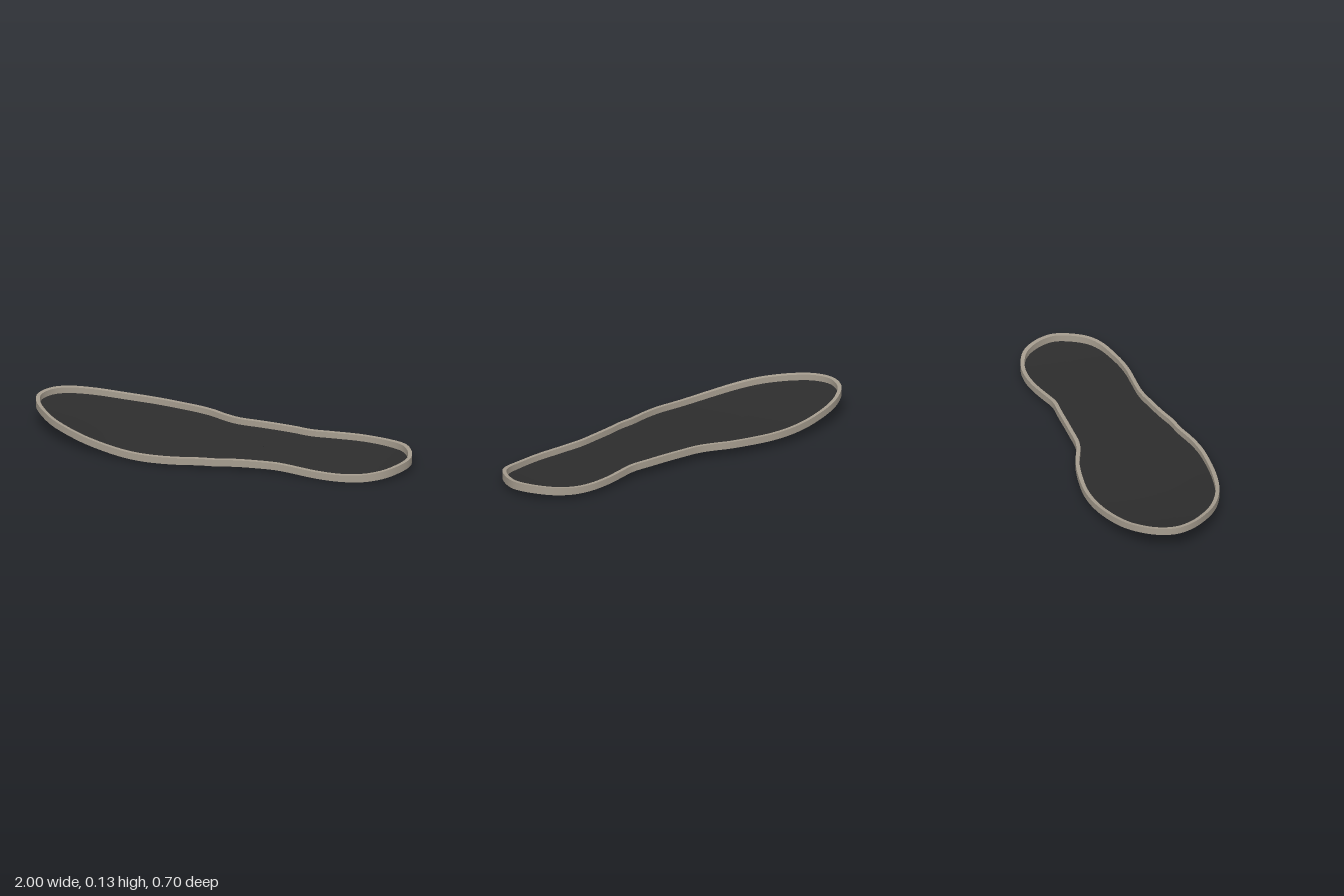
import * as THREE from 'three';

// Sole outline in (x, z): toe at -x, heel at +x
const OUTLINE = [
  [-1, -0.06], [-0.97, -0.16], [-0.9, -0.235], [-0.8, -0.29], [-0.62, -0.338], [-0.46, -0.352],
  [-0.3, -0.335], [-0.16, -0.303], [-0.08, -0.27], [0, -0.246], [0.12, -0.24], [0.3, -0.234],
  [0.4, -0.229], [0.5, -0.25], [0.6, -0.27], [0.7, -0.276], [0.8, -0.26], [0.9, -0.21],
  [0.97, -0.12], [1, -0.02], [0.975, 0.08], [0.93, 0.155], [0.87, 0.2], [0.8, 0.225],
  [0.7, 0.245], [0.6, 0.25], [0.5, 0.244], [0.38, 0.239], [0.28, 0.253], [0.17, 0.274],
  [0.08, 0.298], [0, 0.31], [-0.1, 0.335], [-0.2, 0.35], [-0.3, 0.351], [-0.45, 0.336],
  [-0.65, 0.289], [-0.8, 0.218], [-0.9, 0.135], [-0.975, 0.035],
];
const N = 200;
const RIM = 0.02;
const FLOOR = 0.005;

// Underside height at even x steps from toe to heel
const profile = new THREE.SplineCurve(
  [0.098, 0.066, 0.038, 0.026, 0.027, 0.028, 0.029, 0.024, 0.014, 0.011, 0.026]
    .map((y, i) => new THREE.Vector2(-1 + i * 0.2, y)));

function underside(x, z) {
  const y = profile.getPoint(THREE.MathUtils.clamp((x + 1) / 2, 0, 1)).y;
  const toe = 1 - THREE.MathUtils.smoothstep(x, -0.8, -0.25);
  return y - 0.045 * z * (1 - toe) + 0.1 * z * z * toe; // side tilt, cupped toe
}

const wallHeight = (x) => 0.035 + 0.005 * THREE.MathUtils.smoothstep(x, 0.7, 0.95);

// Joins closed rings of points with quads
function loft(rings, material, name) {
  const pos = rings.flat(2);
  const index = [];
  for (let r = 0; r < rings.length - 1; r++) {
    for (let i = 0; i < N; i++) {
      const j = (i + 1) % N;
      const a = r * N + i, b = a + N, c = r * N + j, d = c + N;
      index.push(a, b, c, c, b, d);
    }
  }
  const geo = new THREE.BufferGeometry();
  geo.setAttribute('position', new THREE.Float32BufferAttribute(pos, 3));
  geo.setIndex(index);
  geo.computeVertexNormals();
  const mesh = new THREE.Mesh(geo, material);
  mesh.name = name;
  return mesh;
}

export function createModel() {
  const taupe = new THREE.MeshStandardMaterial({ color: 0xa69d8f });
  taupe.name = 'taupe rim';
  const charcoal = new THREE.MeshStandardMaterial({ color: 0x2d2d2d });
  charcoal.name = 'charcoal sole';

  const curve = new THREE.CatmullRomCurve3(
    OUTLINE.map(([x, z]) => new THREE.Vector3(x, 0, z)), true, 'centripetal');
  const outer = [], inner = [];
  for (let i = 0; i < N; i++) {
    const p = curve.getPointAt(i / N);
    const t = curve.getTangentAt(i / N);
    outer.push([p.x, p.z]);
    inner.push([p.x - t.z * RIM, p.z + t.x * RIM]);
  }

  // Lifts an outline onto the curved sole; h gives height above the underside
  const ring = (pts, h) => pts.map(([x, z]) => [x, underside(x, z) + h(x), z]);
  // Shrinks an outline toward the sole's centre line
  const shrink = (pts, s) => pts.map(([x, z]) => [x * (0.8 + 0.2 * s), z * s]);
  const steps = [0, 0.2, 0.4, 0.6, 0.8, 1];

  const group = new THREE.Group();
  group.name = 'shoeSole';

  const outerBase = ring(outer, () => 0);
  const outerTop = ring(outer, wallHeight);
  const innerTop = ring(inner, wallHeight);
  const innerBase = ring(inner, () => FLOOR);

  group.add(
    loft([outerBase, outerTop], taupe, 'outerWall'),
    loft([outerTop, innerTop], taupe, 'rimTop'),
    loft([innerTop, innerBase], taupe, 'innerWall'),
    loft([...steps].reverse().map((s) => ring(shrink(inner, s), () => FLOOR)), charcoal, 'footbed'),
    loft(steps.map((s) => ring(shrink(outer, s), () => 0)), charcoal, 'undersole'),
  );

  // Rest the lowest point on the ground
  group.position.y = -new THREE.Box3().setFromObject(group).min.y;
  return group;
}
